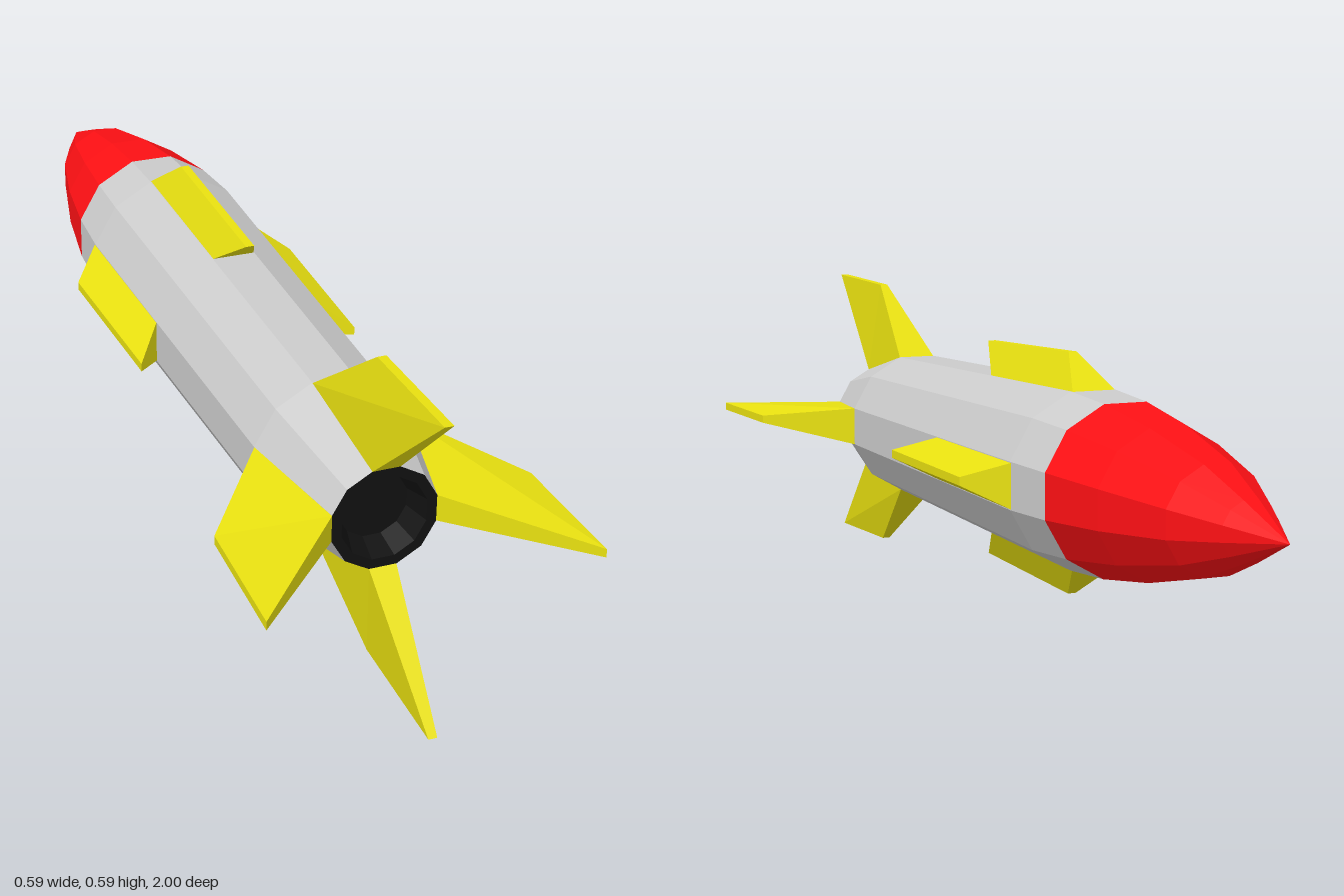
import * as THREE from 'three';

const SIDES = 12;
const AXIS_Y = 0.295;

const paint = (color) => new THREE.MeshStandardMaterial({ color, flatShading: true });

// Faceted shell around the z axis; profile rows are [distance to flat, z], z rising outside
function shell(name, profile, material) {
  const k = 1 / Math.cos(Math.PI / SIDES);
  const points = profile.map(([r, z]) => new THREE.Vector2(r * k, z));
  const geometry = new THREE.LatheGeometry(points, SIDES, Math.PI / SIDES);
  geometry.rotateX(Math.PI / 2);
  const mesh = new THREE.Mesh(geometry, material);
  mesh.name = name;
  return mesh;
}

// Swept, tapered fin pointing up; each corner pair is [half width, radius, z]
function finGeometry({ rootFront, rootRear, tipFront, tipRear }) {
  const geometry = new THREE.BoxGeometry(2, 2, 2);
  const p = geometry.attributes.position;
  for (let i = 0; i < p.count; i++) {
    const rear = p.getZ(i) > 0;
    const corner = p.getY(i) > 0 ? (rear ? tipRear : tipFront) : (rear ? rootRear : rootFront);
    p.setXYZ(i, Math.sign(p.getX(i)) * corner[0], corner[1], corner[2]);
  }
  geometry.computeVertexNormals();
  return geometry;
}

// Four fins spaced evenly around the body
function finSet(name, corners, material) {
  const set = new THREE.Group();
  set.name = name + 's';
  const geometry = finGeometry(corners);
  for (let i = 0; i < 4; i++) {
    const fin = new THREE.Mesh(geometry, material);
    fin.name = name;
    fin.rotation.z = (i * Math.PI) / 2;
    set.add(fin);
  }
  return set;
}

export function createModel() {
  const rocket = new THREE.Group();
  rocket.name = 'rocket';
  const grey = paint(0xcccccc);
  const red = paint(0xff1014);
  const yellow = paint(0xe8e010);
  const black = paint(0x111111);

  // Pointed nose
  rocket.add(shell('noseCone', [
    [0, -1], [0.052, -0.88], [0.095, -0.77], [0.134, -0.6], [0.157, -0.44],
  ], red));

  // Body with tapered tail
  rocket.add(shell('body', [
    [0.157, -0.44], [0.165, -0.31], [0.145, 0.55], [0.095, 0.78],
  ], grey));

  // Rim and recessed exhaust
  rocket.add(shell('nozzle', [
    [0.095, 0.78], [0.077, 0.78], [0.062, 0.73], [0, 0.73],
  ], black));

  // Long low fins on the forward body
  rocket.add(finSet('bodyFin', {
    rootFront: [0.043, 0.164, -0.315],
    rootRear: [0.041, 0.156, 0.055],
    tipFront: [0.008, 0.228, -0.225],
    tipRear: [0.008, 0.216, 0.145],
  }, yellow));

  // Swept tail fins
  rocket.add(finSet('tailFin', {
    rootFront: [0.039, 0.144, 0.55],
    rootRear: [0.025, 0.095, 0.78],
    tipFront: [0.008, 0.288, 0.745],
    tipRear: [0.008, 0.295, 1],
  }, yellow));

  rocket.position.y = AXIS_Y;
  const model = new THREE.Group();
  model.add(rocket);
  return model;
}
